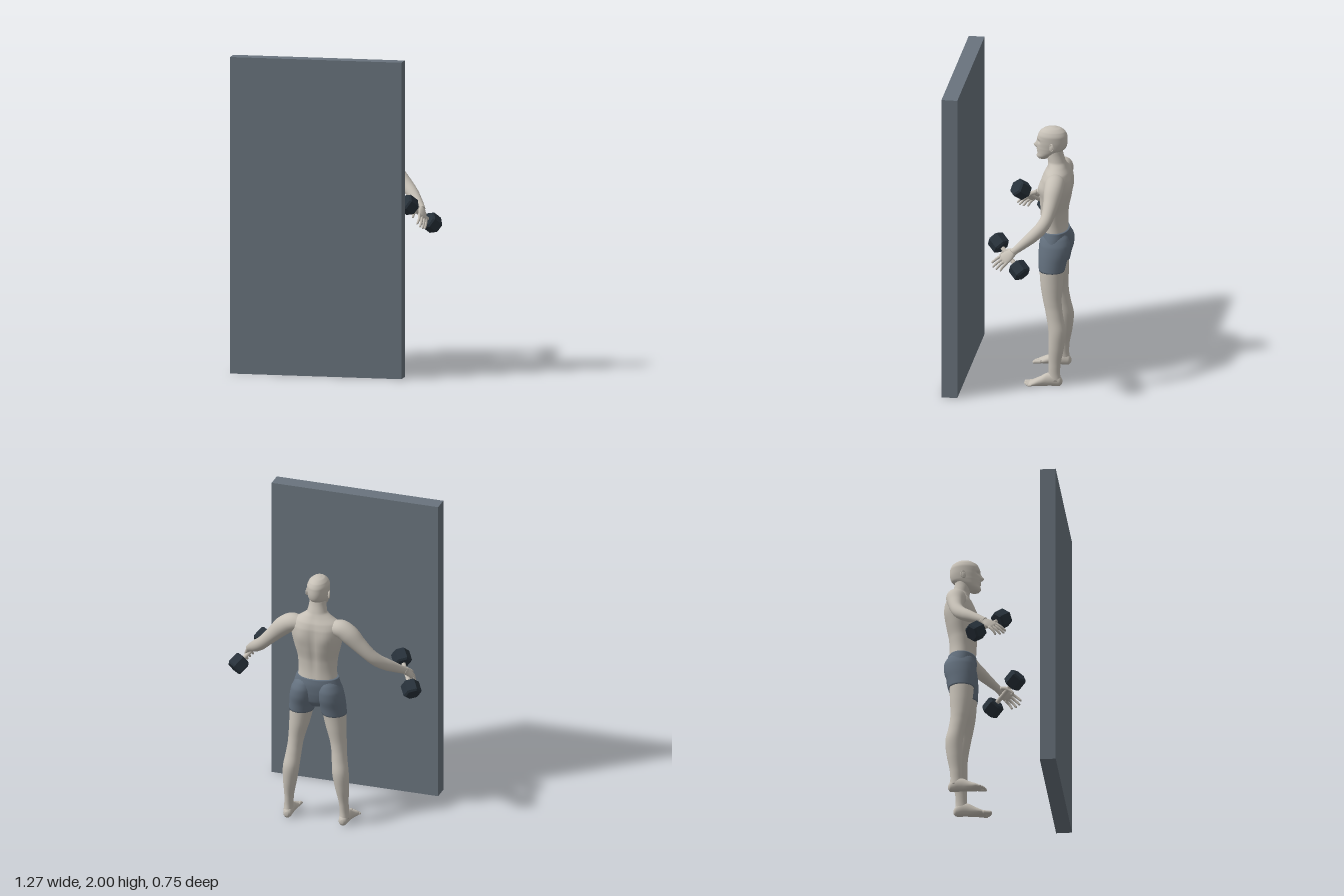
import * as THREE from 'three';

const mat = (name, color) => {
  const m = new THREE.MeshStandardMaterial({ color });
  m.name = name;
  return m;
};
const X = new THREE.Vector3(1, 0, 0), Y = new THREE.Vector3(0, 1, 0), Z = new THREE.Vector3(0, 0, 1);

// Smooth skin through elliptical sections [x, y, z, radiusU, radiusV].
// V follows `across`, U is square to it; `axis` keeps all rings parallel.
function loft(sections, across, axis = null, rows = 30, cols = 24) {
  const path = new THREE.CatmullRomCurve3(sections.map(s => new THREE.Vector3(s[0], s[1], s[2])));
  const size = new THREE.CatmullRomCurve3(sections.map(s => new THREE.Vector3(s[3], s[4], 0)));
  const pos = [], index = [];
  for (let i = 0; i <= rows; i++) {
    const c = path.getPoint(i / rows), r = size.getPoint(i / rows);
    const t = axis || path.getTangent(i / rows);
    const u = across.clone().cross(t).normalize(), v = t.clone().cross(u);
    for (let j = 0; j < cols; j++) {
      const a = j / cols * Math.PI * 2;
      const p = c.clone().addScaledVector(u, Math.cos(a) * Math.max(r.x, 0.0005))
        .addScaledVector(v, Math.sin(a) * Math.max(r.y, 0.0005));
      pos.push(p.x, p.y, p.z);
      const k = i * cols + j, n = i * cols + (j + 1) % cols;
      if (i < rows) index.push(k, n, k + cols, n, n + cols, k + cols);
    }
  }
  const end = rows * cols, c0 = pos.length / 3;
  for (const t of [0, 1]) pos.push(...path.getPoint(t).toArray());
  for (let j = 0; j < cols; j++) {
    const n = (j + 1) % cols;
    index.push(c0, n, j, c0 + 1, end + j, end + n);
  }
  const g = new THREE.BufferGeometry();
  g.setAttribute('position', new THREE.Float32BufferAttribute(pos, 3));
  g.setIndex(index);
  g.computeVertexNormals();
  return g;
}

// Push soft bumps [x, y, width, height, dz] into the front (1) or back (-1).
function sculpt(g, side, zc, bumps) {
  const p = g.attributes.position;
  for (let i = 0; i < p.count; i++) {
    const x = p.getX(i), y = p.getY(i), z = p.getZ(i);
    const w = Math.min(1, Math.max(0, (z - zc) * side / 0.05));
    let d = 0;
    for (const [bx, by, rx, ry, dz] of bumps) d += dz * Math.exp(-(((x - bx) / rx) ** 2) - ((y - by) / ry) ** 2);
    p.setZ(i, z + d * w);
  }
  g.computeVertexNormals();
  return g;
}
const pair = ([x, ...rest]) => [[x, ...rest], [-x, ...rest]];

export function createModel() {
  const skin = mat('skin', 0xc6c0b6), cloth = mat('shorts cloth', 0x64717f);
  const panelGrey = mat('panel grey', 0x69737d), iron = mat('dark iron', 0x28323b);
  const model = new THREE.Group();
  model.name = 'dumbbellExerciseScene';
  const add = (name, geometry, material, parent = model) => {
    const m = new THREE.Mesh(geometry, material);
    m.name = name;
    parent.add(m);
    return m;
  };

  // Upright panel
  add('panel', new THREE.BoxGeometry(1.1, 2, 0.1), panelGrey).position.set(-0.06, 1, 0.33);

  // Torso and neck: rows are y, z, half depth, half width
  const stack = rows => rows.map(([y, z, d, w]) => [0, y, z, d, w]);
  const torso = loft(stack([
    [0.96, -0.265, 0.085, 0.13], [1.04, -0.26, 0.084, 0.124], [1.12, -0.26, 0.088, 0.13],
    [1.2, -0.266, 0.097, 0.15], [1.28, -0.27, 0.1, 0.167], [1.34, -0.276, 0.093, 0.168],
    [1.38, -0.28, 0.079, 0.145], [1.41, -0.28, 0.063, 0.1], [1.44, -0.274, 0.056, 0.064],
    [1.49, -0.262, 0.053, 0.054], [1.55, -0.255, 0.05, 0.05]]), X, Y, 60, 48);
  sculpt(torso, 1, -0.265, [...pair([0.075, 1.275, 0.055, 0.04, 0.014]), [0, 1.24, 0.016, 0.09, -0.008],
    [0, 1.08, 0.01, 0.08, -0.004]]);
  sculpt(torso, -1, -0.265, [...pair([0.085, 1.29, 0.045, 0.07, -0.012]), [0, 1.2, 0.02, 0.17, 0.012]]);
  add('torso', torso, skin);

  // Head with face relief
  const head = loft(stack([
    [1.452, -0.185, 0.008, 0.01], [1.457, -0.187, 0.03, 0.028], [1.475, -0.197, 0.046, 0.043],
    [1.5, -0.222, 0.07, 0.055], [1.53, -0.24, 0.09, 0.063], [1.57, -0.246, 0.095, 0.068],
    [1.61, -0.247, 0.093, 0.069], [1.64, -0.248, 0.079, 0.058], [1.66, -0.249, 0.051, 0.038],
    [1.669, -0.249, 0.015, 0.012]]), X, Y, 72, 72);
  sculpt(head, 1, -0.24, [[0, 1.541, 0.012, 0.014, 0.021], [0, 1.56, 0.009, 0.018, 0.009],
    ...pair([0.027, 1.572, 0.014, 0.01, -0.009]), [0, 1.592, 0.045, 0.009, 0.004],
    [0, 1.513, 0.02, 0.005, 0.006], [0, 1.502, 0.018, 0.005, 0.005], [0, 1.47, 0.022, 0.012, 0.006]]);
  add('head', head, skin);

  // Hips of the shorts
  add('shortsHips', loft(stack([
    [0.79, -0.26, 0.045, 0.05], [0.83, -0.262, 0.075, 0.12], [0.89, -0.264, 0.088, 0.162],
    [0.95, -0.266, 0.092, 0.15], [0.995, -0.264, 0.09, 0.136]]), X, Y, 30, 40), cloth);

  for (const s of [1, -1]) {
    const side = new THREE.Group();
    side.name = s > 0 ? 'leftSide' : 'rightSide';
    model.add(side);
    const V = (x, y, z) => new THREE.Vector3(x * s, y, z);
    const flip = rows => rows.map(([x, ...r]) => [x * s, ...r]);

    // Ear
    const ear = add('ear', new THREE.SphereGeometry(1, 16, 12), skin, side);
    ear.scale.set(0.008, 0.026, 0.016);
    ear.position.copy(V(0.069, 1.55, -0.25));
    ear.rotation.set(-0.15, -0.3 * s, 0);
    const rim = add('earRim', new THREE.TorusGeometry(0.016, 0.004, 8, 20), skin, side);
    rim.scale.set(0.8, 1.35, 1);
    rim.position.copy(V(0.073, 1.552, -0.252));
    rim.rotation.y = Math.PI / 2 - 0.3 * s;

    // Leg, shorts leg and foot
    add('leg', loft(flip([
      [0.185, 0.04, -0.287, 0.042, 0.03], [0.183, 0.09, -0.286, 0.036, 0.028], [0.18, 0.15, -0.288, 0.038, 0.03],
      [0.172, 0.25, -0.296, 0.049, 0.043], [0.162, 0.36, -0.3, 0.055, 0.052], [0.152, 0.44, -0.286, 0.053, 0.049],
      [0.145, 0.5, -0.275, 0.054, 0.048], [0.137, 0.56, -0.266, 0.059, 0.052], [0.122, 0.65, -0.26, 0.07, 0.064],
      [0.107, 0.75, -0.258, 0.077, 0.074], [0.1, 0.79, -0.26, 0.08, 0.076]]), X, Y, 50, 28), skin, side);
    add('shortsLeg', loft(flip([
      [0.108, 0.745, -0.258, 0.081, 0.079], [0.1, 0.8, -0.262, 0.089, 0.083], [0.091, 0.86, -0.27, 0.098, 0.085],
      [0.085, 0.91, -0.273, 0.098, 0.08], [0.077, 0.955, -0.27, 0.086, 0.066], [0.07, 0.99, -0.265, 0.06, 0.045]]),
      X, Y, 30, 28), cloth, side);
    const foot = loft(flip([
      [0.183, 0.03, -0.335, 0.01, 0.014], [0.183, 0.032, -0.322, 0.025, 0.031], [0.184, 0.042, -0.287, 0.031, 0.045],
      [0.187, 0.04, -0.24, 0.032, 0.043], [0.19, 0.029, -0.2, 0.036, 0.031], [0.195, 0.019, -0.16, 0.041, 0.021],
      [0.197, 0.012, -0.128, 0.036, 0.012]]), Y, Z, 30, 24);
    const fp = foot.attributes.position;
    for (let i = 0; i < fp.count; i++) fp.setY(i, Math.max(0.002, fp.getY(i)));
    foot.computeVertexNormals();
    add('foot', foot, skin, side);
    for (let i = 0; i < 5; i++) {
      const x = 0.167 + i * 0.0155 + (i ? 0.004 : 0), r = i ? 0.0085 : 0.013, tip = -0.094 - i * i * 0.0018;
      add('toe', loft(flip([[x, 0.015, -0.15, r, r], [x, 0.012, tip - 0.022, r * 0.9, r * 0.85],
        [x, 0.01, tip - 0.006, r, r * 0.8], [x, 0.009, tip, r * 0.3, r * 0.3]]), Y, Z, 12, 10), skin, side);
    }

    // Arm from shoulder to wrist
    add('arm', loft(flip([
      [0.1, 1.345, -0.285, 0.05, 0.045], [0.165, 1.343, -0.286, 0.062, 0.058], [0.215, 1.312, -0.285, 0.06, 0.06],
      [0.276, 1.25, -0.278, 0.049, 0.05], [0.345, 1.178, -0.262, 0.04, 0.041], [0.387, 1.135, -0.235, 0.04, 0.04],
      [0.43, 1.095, -0.19, 0.039, 0.038], [0.475, 1.055, -0.135, 0.03, 0.03], [0.512, 1.02, -0.085, 0.022, 0.023],
      [0.52, 1.01, -0.073, 0.02, 0.023]]), Y, null, 50, 24), skin, side);

    // Hand frame: reach along the fingers, grip along the handle, back out of the knuckles
    const wrist = V(0.512, 1.02, -0.085), grip = V(0.115, -0.13, -0.15).normalize();
    const reach = V(0.05, -0.11, 0.14).normalize(), back = V(0.81, 0.56, 0.14).normalize();
    const at = (f, a, n, ru, rv) => [...wrist.clone().addScaledVector(reach, f).addScaledVector(grip, a)
      .addScaledVector(back, n).toArray(), ru, rv];
    add('palm', loft([at(-0.01, 0, 0, 0.02, 0.022), at(0.02, 0, 0, 0.018, 0.028), at(0.055, 0, 0.002, 0.015, 0.038),
      at(0.085, 0, 0, 0.012, 0.038), at(0.098, 0, -0.002, 0.006, 0.032)], grip, null, 20, 20), skin, side);
    [-0.03, -0.01, 0.01, 0.029].forEach((a, i) => {
      const l = [0.07, 0.08, 0.074, 0.058][i];
      add('finger', loft([at(0.08, a, 0, 0.01, 0.01), at(0.09 + l * 0.45, a * 1.15, -0.005, 0.0085, 0.0085),
        at(0.09 + l * 0.92, a * 1.3, -0.02, 0.007, 0.007), at(0.09 + l, a * 1.3, -0.023, 0.002, 0.002)],
        grip, null, 14, 10), skin, side);
    });
    add('thumb', loft([at(0.01, -0.015, -0.004, 0.014, 0.014), at(0.04, -0.04, -0.014, 0.012, 0.013),
      at(0.07, -0.05, -0.03, 0.009, 0.01), at(0.092, -0.05, -0.04, 0.007, 0.007),
      at(0.097, -0.05, -0.042, 0.002, 0.002)], back, null, 16, 12), skin, side);

    // Hexagonal dumbbell
    const bell = new THREE.Group();
    bell.name = 'dumbbell';
    bell.position.copy(V(0.5125, 0.985, -0.05));
    const bx = back.clone().addScaledVector(grip, -back.dot(grip)).normalize();
    bell.quaternion.setFromRotationMatrix(new THREE.Matrix4().makeBasis(bx, grip, bx.clone().cross(grip)));
    side.add(bell);
    add('dumbbellHandle', new THREE.CylinderGeometry(0.014, 0.014, 0.16, 16), skin, bell);
    for (const e of [1, -1]) {
      const profile = [[0, -0.045], [0.048, -0.045], [0.059, -0.034], [0.059, 0.034], [0.048, 0.045], [0, 0.045]];
      const hex = new THREE.LatheGeometry(profile.map(p => new THREE.Vector2(...p)), 6).toNonIndexed();
      hex.computeVertexNormals();
      add('dumbbellHead', hex, iron, bell).position.y = 0.115 * e;
    }
  }
  return model;
}
